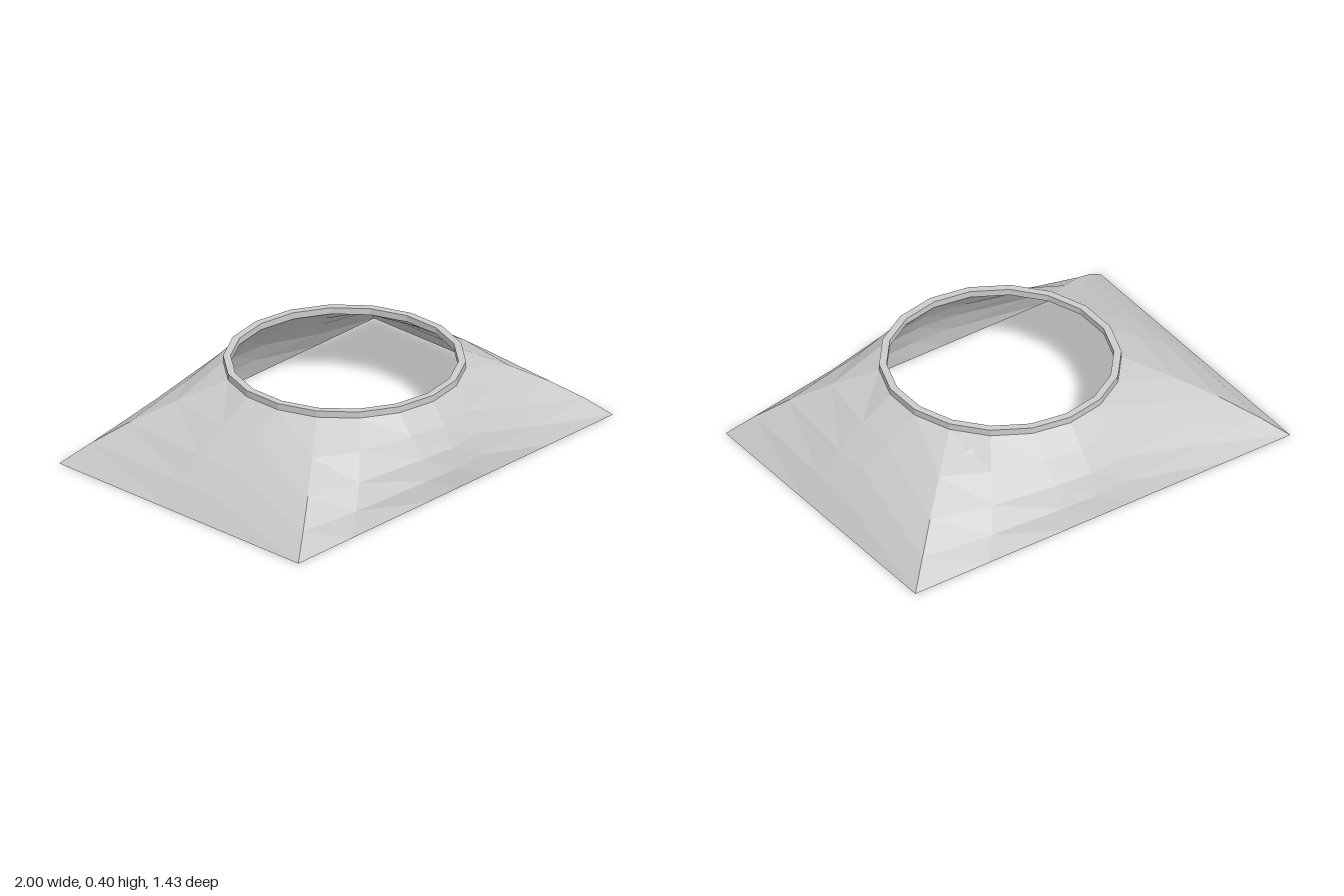
import * as THREE from 'three';

const SIDES = 18;
const CX = 0.015, CZ = 0.037;      // centre of the round opening
const SHELL_Y = 0.37, TOP_Y = 0.4;
const LEVELS = 4;

// Point on the round opening; index 0 is at the back, running towards +x
function circlePoint(k, r, y) {
  const a = (k / SIDES) * Math.PI * 2;
  return new THREE.Vector3(CX + r * Math.sin(a), y, CZ - r * Math.cos(a));
}

// Matching point on the rectangular base, plus the direction the shell bulges there
function basePoint(k, inset) {
  const c = circlePoint(k, 0.53, 0);
  const sx = Math.sign(c.x), sz = Math.sign(c.z - CZ);
  const corner = [3, 6, 12, 15].includes(k);
  const side = [4, 5, 13, 14].includes(k);
  const nearCorner = [2, 7, 11, 16].includes(k);
  const x = 1 - inset, z = 0.715 - inset;
  const p = new THREE.Vector3(c.x, 0, sz * z);
  const bulge = new THREE.Vector3(0, 0, sz);
  if (corner) {
    p.x = sx * x;
    bulge.x = sx;
  } else if (side) {
    p.set(sx * x, 0, c.z);
    bulge.set(sx, 0, 0);
  } else if (nearCorner) {
    p.x = sx > 0 ? 0.6 : -0.66;
    bulge.x = sx * 0.5;
  }
  return { p, bulge };
}

// Cross-section of the shell at t = 0 (base) to 1 (opening)
function shellRing(t, r, inset) {
  return Array.from({ length: SIDES }, (_, k) => {
    const { p, bulge } = basePoint(k, inset);
    return p.lerp(circlePoint(k, r, SHELL_Y), t)
      .addScaledVector(bulge, 0.043 * Math.sin(Math.PI * t));
  });
}

const circleRing = (r, y) => Array.from({ length: SIDES }, (_, k) => circlePoint(k, r, y));

// Joins consecutive rings with flat faces
function loft(name, rings, material) {
  const pos = [];
  for (let i = 0; i < rings.length - 1; i++) {
    for (let k = 0; k < SIDES; k++) {
      const n = (k + 1) % SIDES;
      const a = rings[i][k], b = rings[i + 1][k], c = rings[i + 1][n], d = rings[i][n];
      for (const v of [a, b, c, a, c, d]) pos.push(v.x, v.y, v.z);
    }
  }
  const geo = new THREE.BufferGeometry();
  geo.setAttribute('position', new THREE.Float32BufferAttribute(pos, 3));
  geo.computeVertexNormals();
  const mesh = new THREE.Mesh(geo, material);
  mesh.name = name;
  return mesh;
}

export function createModel() {
  const group = new THREE.Group();
  group.name = 'rectangleToRoundAdapter';
  const material = new THREE.MeshStandardMaterial({
    color: 0xcccccc, flatShading: true, side: THREE.DoubleSide,
  });
  const R_OUT = 0.53, R_IN = 0.497, INSET = 0.028;

  // Bulged shell: up the outside, down the inside
  const outer = [], inner = [];
  for (let i = 0; i <= LEVELS; i++) {
    outer.push(shellRing(i / LEVELS, R_OUT, 0));
    inner.push(shellRing(i / LEVELS, R_IN, INSET));
  }
  group.add(loft('outerShell', outer, material));
  group.add(loft('innerShell', [...inner].reverse(), material));

  // Flat lip around the rectangular base
  group.add(loft('baseLip', [inner[0], outer[0]], material));

  // Upright collar around the round opening
  group.add(loft('collar', [
    circleRing(R_OUT, SHELL_Y), circleRing(R_OUT, TOP_Y),
    circleRing(R_IN, TOP_Y), circleRing(R_IN, SHELL_Y),
  ], material));
  return group;
}
